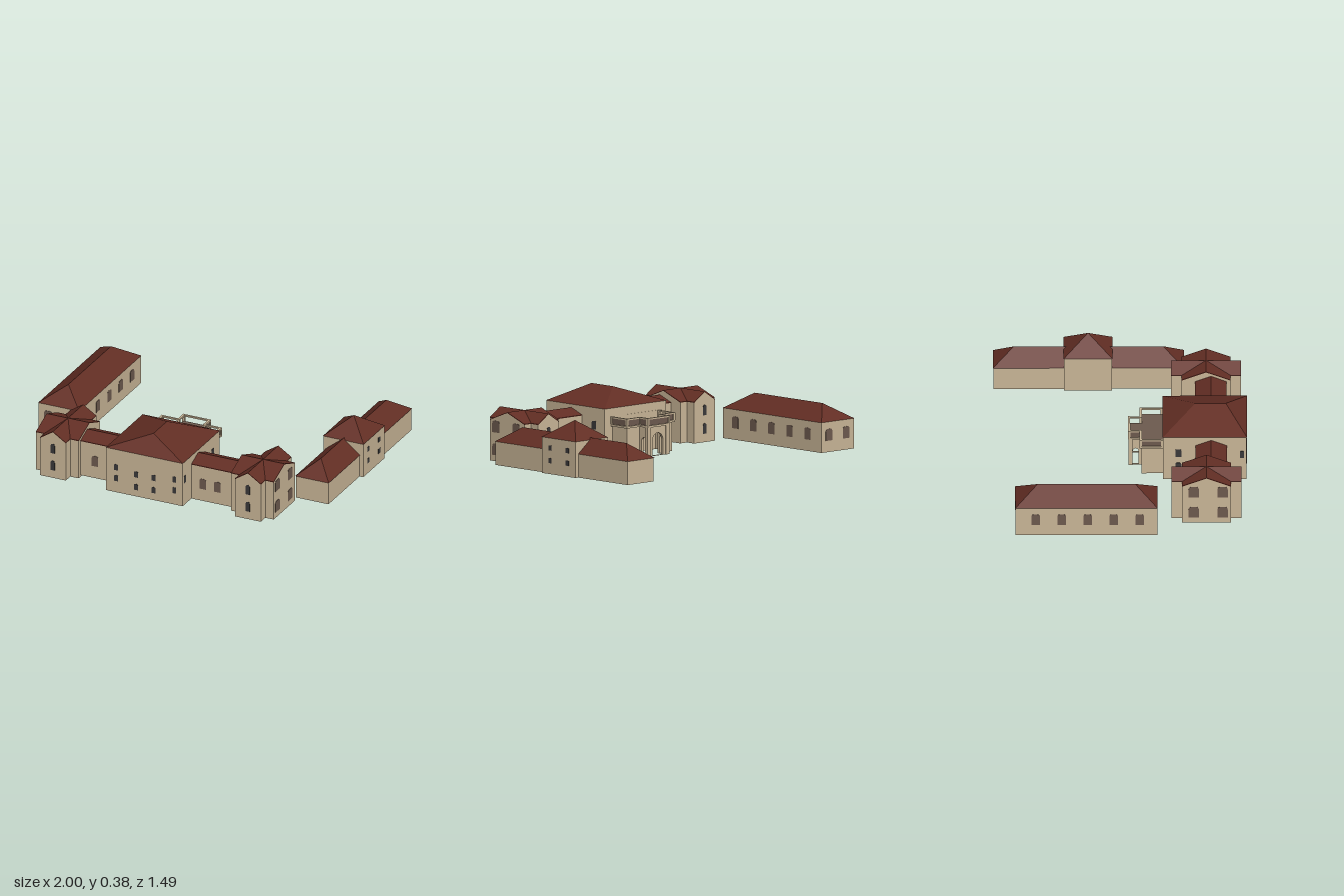
import * as THREE from 'three';

const mat = (name, color, side = THREE.FrontSide) => {
  const m = new THREE.MeshStandardMaterial({ color, side });
  m.name = name;
  return m;
};

export function createModel() {
  const root = new THREE.Group();
  root.name = 'villaEstate';
  const wall = mat('sandStucco', 0xcbb798, THREE.DoubleSide);
  const roof = mat('redTile', 0x632e24, THREE.DoubleSide);
  const shutter = mat('brownShutter', 0x6e5b4f);
  const glass = mat('darkGlass', 0x3a393a);

  const add = (parent, name, geo, material) => {
    const mesh = new THREE.Mesh(geo, material);
    mesh.name = name;
    parent.add(mesh);
    return mesh;
  };
  const group = (name) => {
    const g = new THREE.Group();
    g.name = name;
    root.add(g);
    return g;
  };
  const box = (parent, name, x0, x1, y0, y1, z0, z1, material = wall) =>
    add(parent, name, new THREE.BoxGeometry(x1 - x0, y1 - y0, z1 - z0), material)
      .position.set((x0 + x1) / 2, (y0 + y1) / 2, (z0 + z1) / 2);

  // Closed outline in plan [x, z], extruded upwards
  const outline = (pts) => pts.map(([x, z]) => new THREE.Vector2(x, -z));
  const plan = (parent, name, pts, hole, y0, y1, material = wall) => {
    const shape = new THREE.Shape(outline(pts));
    if (hole) shape.holes.push(new THREE.Path(outline(hole)));
    const geo = new THREE.ExtrudeGeometry(shape, { depth: y1 - y0, bevelEnabled: false });
    geo.rotateX(-Math.PI / 2).translate(0, y0, 0);
    return add(parent, name, geo, material);
  };
  const rect = (x0, x1, z0, z1) => [[x0, z0], [x1, z0], [x1, z1], [x0, z1]];

  // Hipped roof with its ridge along z from r0 to r1
  const hip = (parent, name, x0, x1, z0, z1, y, top, r0, r1) => {
    const xc = (x0 + x1) / 2;
    const a = [x0, y, z0], b = [x1, y, z0], c = [x1, y, z1], d = [x0, y, z1];
    const p = [xc, top, r0], q = [xc, top, r1];
    const tris = [a, p, b, c, q, d, b, p, q, b, q, c, d, q, p, d, p, a];
    const geo = new THREE.BufferGeometry();
    geo.setAttribute('position', new THREE.Float32BufferAttribute(tris.flat(), 3));
    geo.computeVertexNormals();
    return add(parent, name, geo, roof);
  };

  // Gabled block: stucco body and a thin tiled roof, running along z or x
  const gabled = (parent, name, cx, cz, width, length, y0, eave, top, alongX) => {
    const w = width / 2, t = 0.004;
    const make = (pts) => {
      const geo = new THREE.ExtrudeGeometry(
        new THREE.Shape(pts.map(([x, y]) => new THREE.Vector2(x, y))), { depth: length, bevelEnabled: false });
      geo.translate(0, 0, -length / 2);
      if (alongX) geo.rotateY(Math.PI / 2);
      return geo.translate(cx, 0, cz);
    };
    add(parent, name + 'Walls', make([[-w, y0], [w, y0], [w, eave - t], [0, top - t], [-w, eave - t]]), wall);
    add(parent, name + 'Roof', make([[-w, eave - t], [0, top - t], [w, eave - t], [w, eave], [0, top], [-w, eave]]), roof);
  };

  // Thin window plate with a curved head; turn in quarter turns from the front
  const win = (parent, x, y, z, w, h, turn, material, round = 0.5) => {
    const s = new THREE.Shape(), a = w / 2, r = a * round, b = h / 2;
    s.moveTo(-a, -b);
    s.lineTo(a, -b);
    s.lineTo(a, b - r);
    s.quadraticCurveTo(a, b, a - r, b);
    s.lineTo(-a + r, b);
    s.quadraticCurveTo(-a, b, -a, b - r);
    const geo = new THREE.ExtrudeGeometry(s, { depth: 0.009, bevelEnabled: false, curveSegments: 4 });
    geo.translate(0, 0, -0.007).rotateY(turn * Math.PI / 2);
    add(parent, 'window', geo, material).position.set(x, y, z);
  };

  // Main house, open underneath
  const main = group('mainHouse');
  plan(main, 'mainWalls', rect(-0.3, 0.2, 0.25, 0.742), rect(-0.295, 0.195, 0.255, 0.737), 0.015, 0.295);
  hip(main, 'mainRoof', -0.302, 0.202, 0.248, 0.745, 0.295, 0.385, 0.44, 0.62);
  for (const [x, hi, lo] of [[-0.235, 0.178, 0.107], [-0.105, 0.158, 0.076], [0.01, 0.16, 0.08], [0.145, 0.178, 0.107]]) {
    win(main, x, hi, 0.742, 0.024, 0.038, 0, glass);
    win(main, x, lo, 0.742, 0.024, 0.038, 0, glass);
  }
  for (const [x, turn] of [[0.2, 1], [-0.3, 3]]) {
    for (const y of [0.1, 0.19]) win(main, x, y, 0.34, 0.035, 0.05, turn, glass);
    win(main, x, 0.18, 0.715, 0.024, 0.045, turn, glass);
  }

  // Rear portico with an arched entrance and roof terrace
  const portico = group('rearPortico');
  const tee = (o, back = 0.25) => [
    [-0.243 + o, back], [-0.243 + o, 0.113 + o], [-0.135 + o, 0.113 + o], [-0.135 + o, 0.045 + o],
    [0.045 - o, 0.045 + o], [0.045 - o, 0.113 + o], [0.15 - o, 0.113 + o], [0.15 - o, back]];
  const archWall = (name, w, openW, openH, x, z, turn) => {
    const s = new THREE.Shape([[-w / 2, 0], [w / 2, 0], [w / 2, 0.175], [-w / 2, 0.175]]
      .map(([px, py]) => new THREE.Vector2(px, py)));
    const h = new THREE.Path(), r = openW / 2;
    h.moveTo(-r, 0.002);
    h.lineTo(-r, openH - r);
    h.absarc(0, openH - r, r, Math.PI, 0, true);
    h.lineTo(r, 0.002);
    s.holes.push(h);
    const geo = new THREE.ExtrudeGeometry(s, { depth: 0.015, bevelEnabled: false, curveSegments: 8 });
    geo.translate(0, 0, -0.015).rotateY(turn * Math.PI / 2);
    add(portico, name, geo, wall).position.set(x, 0.015, z);
  };
  archWall('entranceArch', 0.16, 0.085, 0.135, -0.045, 0.055, 2);
  for (const [x, turn] of [[0.035, 1], [-0.125, 3]]) archWall('sideArch', 0.07, 0.035, 0.11, x, 0.09, turn);
  box(portico, 'rightBay', -0.23, -0.125, 0.015, 0.19, 0.125, 0.14);
  box(portico, 'leftBay', 0.035, 0.137, 0.015, 0.19, 0.125, 0.14);
  box(portico, 'rightBaySide', -0.23, -0.215, 0.015, 0.19, 0.14, 0.25);
  box(portico, 'leftBaySide', 0.122, 0.137, 0.015, 0.19, 0.14, 0.25);
  for (const x of [-0.12, 0.03]) box(portico, 'entrancePier', x - 0.013, x + 0.013, 0.015, 0.19, 0.048, 0.07);
  plan(portico, 'cornice', tee(0), null, 0.188, 0.2);
  plan(portico, 'terraceFloor', tee(0.008), null, 0.2, 0.204, shutter);
  plan(portico, 'balustrade', tee(0.003), tee(0.01, 0.249), 0.204, 0.236, shutter);
  plan(portico, 'handrail', tee(0), tee(0.013, 0.249), 0.236, 0.245);
  for (const [x, z] of tee(0.006, 0.244)) box(portico, 'balustradePost', x - 0.007, x + 0.007, 0.2, 0.245, z - 0.007, z + 0.007);

  // Connecting wings and cross-shaped end pavilions, paired about the main house
  for (const side of [1, -1]) {
    const word = side > 0 ? 'left' : 'right';
    const wing = group(word + 'Wing');
    const inner = side > 0 ? 0.2 : -0.3, cx = side > 0 ? 0.61 : -0.665, cz = 0.505;
    const end = cx - side * 0.14;
    gabled(wing, 'wing', (inner + end) / 2, 0.533, 0.185, Math.abs(end - inner) + 0.01, 0.015, 0.24, 0.276, true);
    for (const x of side > 0 ? [0.275, 0.37] : [-0.43, -0.315]) {
      win(wing, x, 0.125, 0.6255, 0.042, 0.066, 0, shutter, 0.7);
      win(wing, x, 0.125, 0.4405, 0.042, 0.066, 2, shutter, 0.7);
    }
    const pavilion = group(word + 'Pavilion');
    gabled(pavilion, 'longArm', cx, cz, 0.17, 0.41, 0.004, 0.25, 0.305, false);
    gabled(pavilion, 'crossArm', cx, cz, 0.29, 0.28, 0.004, 0.25, 0.305, true);
    for (const [y, h] of [[0.195, 0.062], [0.085, 0.062]]) {
      win(pavilion, cx, y, cz + 0.205, 0.026, h, 0, glass, 1);
      win(pavilion, cx, y, cz - 0.205, 0.026, h, 2, glass, 1);
    }
    for (const z of [0.43, 0.6]) for (const y of [0.075, 0.21])
      win(pavilion, cx + side * 0.14, y, z, 0.06, 0.07, side, shutter, 0.6);
  }

  // Long hipped barn
  const barn = group('longBarn');
  box(barn, 'barnWalls', -0.998, -0.735, 0.03, 0.21, -0.618, 0.215);
  hip(barn, 'barnRoof', -1, -0.733, -0.62, 0.217, 0.21, 0.3, -0.488, 0.085);
  for (let i = 0; i < 5; i++) {
    const z = -0.5 + i * 0.153;
    win(barn, -0.735, 0.133, z, 0.052, 0.07, 1, shutter, 0.6);
    win(barn, -0.998, 0.133, z, 0.052, 0.07, 3, shutter, 0.6);
  }
  for (const x of [-0.935, -0.795]) {
    win(barn, x, 0.133, 0.215, 0.052, 0.07, 0, shutter, 0.6);
    win(barn, x, 0.133, -0.618, 0.052, 0.07, 2, shutter, 0.6);
  }

  // Stable range with a taller centre block
  const stable = group('stableRange');
  box(stable, 'stableWalls', 0.76, 0.973, 0.03, 0.17, -0.745, 0.372);
  hip(stable, 'stableRoof', 0.757, 0.976, -0.748, 0.375, 0.17, 0.256, -0.625, 0.253);
  box(stable, 'centreWalls', 0.737, 0.997, 0.03, 0.245, -0.33, -0.047);
  hip(stable, 'centreRoof', 0.734, 1, -0.332, -0.045, 0.245, 0.346, -0.189, -0.188);
  for (const z of [-0.115, -0.26]) for (const y of [0.11, 0.185])
    win(stable, 0.997, y, z, 0.025, 0.03, 1, glass, 0.1);

  return root;
}
